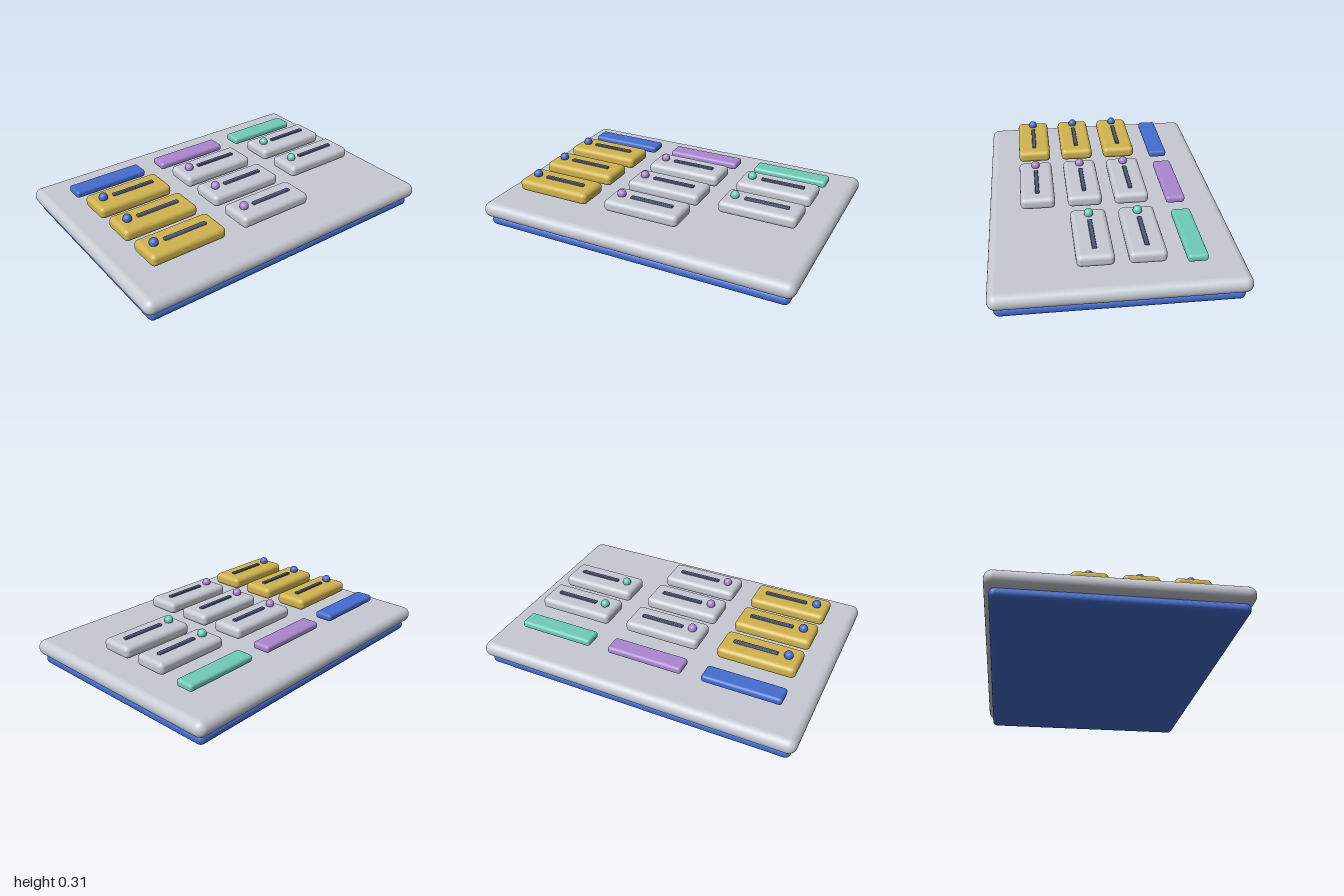
import * as THREE from 'three';
import { RoundedBoxGeometry } from 'three/addons/geometries/RoundedBoxGeometry.js';

const material = (name, color) => {
  const m = new THREE.MeshStandardMaterial({ color });
  m.name = name;
  return m;
};

export function createModel() {
  const board = new THREE.Group();
  board.name = 'taskBoard';

  const grey = material('pale grey', 0xc6cad3);
  const blue = material('blue', 0x446dd0);
  const yellow = material('mustard yellow', 0xd0b44f);
  const purple = material('soft purple', 0xaa88d0);
  const teal = material('mint teal', 0x70cbb8);
  const slate = material('dark slate', 0x4c5a7c);

  const add = (parent, name, geometry, mat, x, y, z) => {
    const mesh = new THREE.Mesh(geometry, mat);
    mesh.name = name;
    mesh.position.set(x, y, z);
    parent.add(mesh);
  };

  // Stacked slabs: blue base below, wider grey panel on top
  add(board, 'basePlate', new RoundedBoxGeometry(1.935, 0.066, 1.35, 5, 0.032), blue, 0, 0.033, 0);
  add(board, 'panel', new RoundedBoxGeometry(2, 0.098, 1.412, 6, 0.048), grey, 0, 0.108, 0);

  // Shared shapes for the floating cards
  const headerShape = new RoundedBoxGeometry(0.48, 0.046, 0.115, 4, 0.018);
  const cardShape = new RoundedBoxGeometry(0.48, 0.074, 0.207, 4, 0.028);
  const dotShape = new THREE.SphereGeometry(0.027, 24, 16);
  const lineShape = new RoundedBoxGeometry(0.272, 0.018, 0.025, 2, 0.005);

  // Three columns, each with a header and a stack of cards
  const columns = [
    { name: 'right', x: -0.605, accent: blue, card: yellow, count: 3 },
    { name: 'middle', x: 0, accent: purple, card: grey, count: 3 },
    { name: 'left', x: 0.605, accent: teal, card: grey, count: 2 },
  ];
  for (const { name, x, accent, card, count } of columns) {
    const column = new THREE.Group();
    column.name = `${name}Column`;
    column.position.x = x;
    board.add(column);
    add(column, 'header', headerShape, accent, 0, 0.207, -0.427);

    for (let i = 0; i < count; i++) {
      const row = new THREE.Group();
      row.name = `card${i + 1}`;
      row.position.set(0, 0.231, -0.157 + i * 0.283);
      column.add(row);
      add(row, 'cardBody', cardShape, card, 0, 0, 0);
      add(row, 'statusDot', dotShape, accent, -0.168, 0.05, 0);
      add(row, 'titleLine', lineShape, slate, 0.032, 0.04, 0);
    }
  }
  return board;
}
